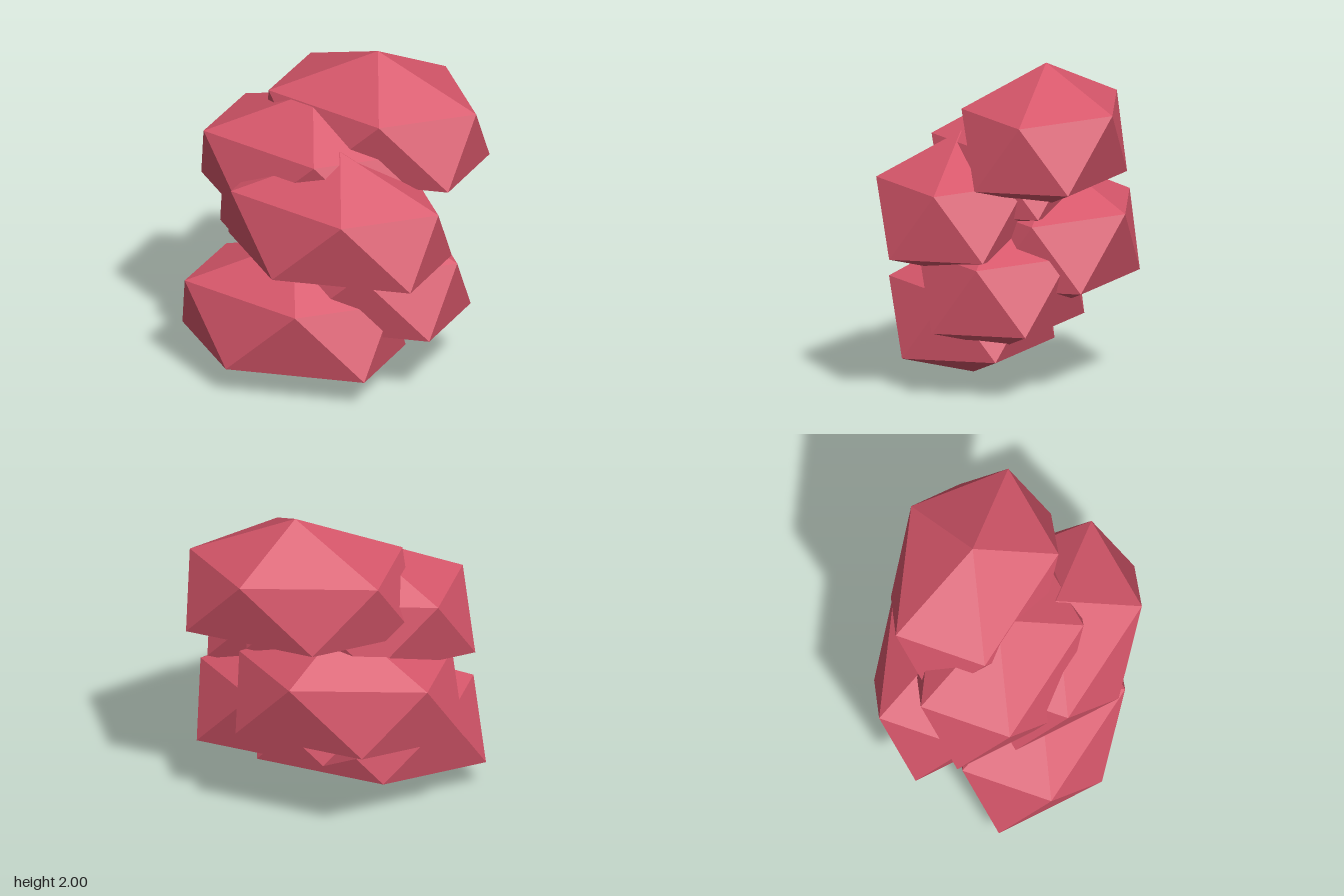
import * as THREE from 'three';

// Squashed twenty-sided clump: two five-point rings between an apex and a nadir
function clumpGeometry() {
  const apex = [0.2, 1.555, 0.265];
  const nadir = [0.2, 0.675, 0.265];
  const upper = [
    [0.86, 1.265, 0.265], [0.43, 1.29, -0.21], [-0.39, 1.29, -0.025],
    [-0.4, 1.29, 0.55], [0.43, 1.29, 0.737],
  ];
  const lower = [
    [0.81, 0.855, -0.03], [-0.02, 0.865, -0.185], [-0.55, 0.855, 0.265],
    [-0.03, 0.855, 0.747], [0.81, 0.855, 0.557],
  ];
  const points = [];
  for (let i = 0; i < 5; i++) {
    const j = (i + 1) % 5;
    points.push(
      apex, upper[i], upper[j],
      upper[i], lower[i], upper[j],
      lower[i], lower[j], upper[j],
      nadir, lower[j], lower[i],
    );
  }
  const geometry = new THREE.BufferGeometry();
  geometry.setAttribute('position', new THREE.Float32BufferAttribute(points.flat(), 3));
  geometry.computeVertexNormals();
  return geometry;
}

export function createModel() {
  const model = new THREE.Group();
  model.name = 'foliage';
  const red = new THREE.MeshStandardMaterial({ color: 0xd6566a, flatShading: true });
  red.name = 'rose red';
  const geometry = clumpGeometry();

  // Overlapping clumps, alternating sides from top to bottom
  const clumps = [
    ['topClump', 0, 0.445, -0.535],
    ['upperRightClump', -0.31, 0.225, -0.267],
    ['middleFrontClump', 0, 0, 0],
    ['middleBackClump', -0.31, -0.22, -0.535],
    ['lowerLeftClump', 0, -0.445, -0.267],
    ['bottomClump', -0.31, -0.67, 0],
  ];
  for (const [name, x, y, z] of clumps) {
    const mesh = new THREE.Mesh(geometry, red);
    mesh.name = name;
    mesh.position.set(x, y, z);
    model.add(mesh);
  }
  // Rest the lowest point on the ground
  model.position.y = -0.005;
  return model;
}
